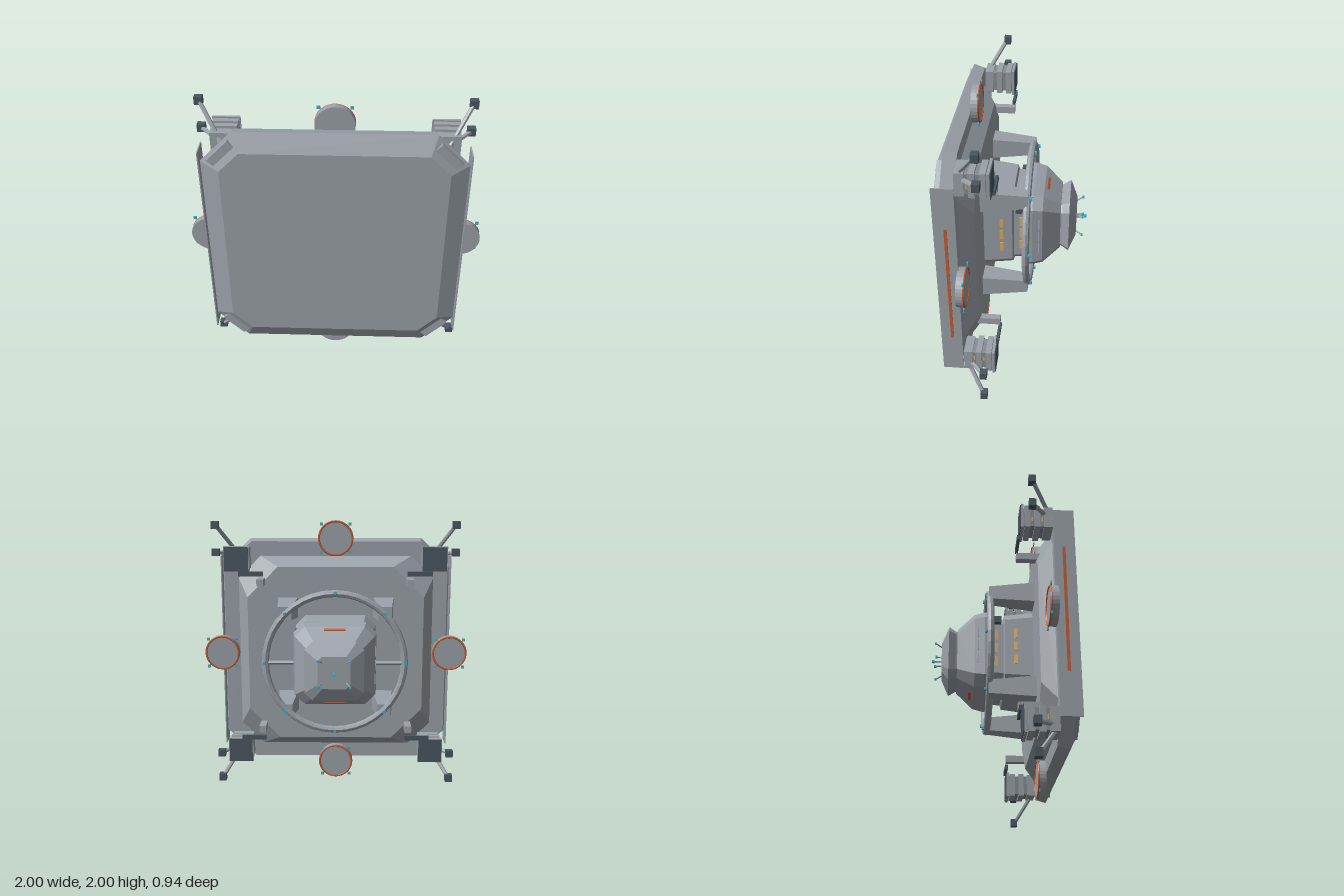
import * as THREE from 'three';

const mat = (name, color) => Object.assign(new THREE.MeshStandardMaterial({ color, flatShading: true }), { name });

export function createModel() {
  const hull = mat('hull grey', 0x9ba2a9);
  const panel = mat('panel grey', 0x868d93);
  const dark = mat('dark slate', 0x49575f);
  const orange = mat('orange', 0xc25c34);
  const cyan = mat('cyan light', 0x3fb4c8);
  const amber = mat('amber window', 0xe0b260);
  const pale = mat('pale window', 0xa6adc4);

  const root = new THREE.Group();
  root.name = 'spaceStation';
  const station = new THREE.Group();
  station.name = 'station';
  station.position.y = 1.005;
  root.add(station);

  const add = (name, geo, material, x = 0, y = 0, z = 0, parent = station) => {
    const m = new THREE.Mesh(geo, material);
    m.name = name;
    m.position.set(x, y, z);
    parent.add(m);
    return m;
  };
  const box = (name, w, h, d, material, x, y, z, parent) =>
    add(name, new THREE.BoxGeometry(w, h, d), material, x, y, z, parent);

  // Chamfered-square loft; each section is [z, half width, corner cut], front to back
  const loft = (sections) => {
    const rings = sections.map(([z, h, c]) => {
      const k = h - c;
      return [[h, -k], [h, k], [k, h], [-k, h], [-h, k], [-h, -k], [-k, -h], [k, -h]].map(([x, y]) => [x, y, z]);
    });
    const v = [];
    for (let s = 0; s < rings.length - 1; s++) {
      const a = rings[s], b = rings[s + 1];
      for (let i = 0; i < 8; i++) {
        const j = (i + 1) % 8;
        v.push(a[i], b[i], a[j], a[j], b[i], b[j]);
      }
    }
    const f = rings[0], l = rings[rings.length - 1];
    for (let i = 1; i < 7; i++) v.push(f[0], f[i], f[i + 1], l[0], l[i + 1], l[i]);
    const g = new THREE.BufferGeometry();
    g.setAttribute('position', new THREE.Float32BufferAttribute(v.flat(), 3));
    g.computeVertexNormals();
    return g;
  };

  // Square strut tapering from front half width and z to back half width and z
  const taperBlock = (frontHalf, frontZ, backHalf, backZ) => {
    const g = new THREE.BoxGeometry(1, 1, 1), p = g.attributes.position;
    for (let i = 0; i < p.count; i++) {
      const [h, z] = p.getZ(i) > 0 ? [frontHalf, frontZ] : [backHalf, backZ];
      p.setXYZ(i, Math.sign(p.getX(i)) * h, Math.sign(p.getY(i)) * h, z);
    }
    g.computeVertexNormals();
    return g;
  };

  // Straight rod between two points
  const rod = (name, from, to, r, material) => {
    const a = new THREE.Vector3(...from), b = new THREE.Vector3(...to);
    const m = add(name, new THREE.CylinderGeometry(r, r, a.distanceTo(b), 6), material);
    m.position.copy(a).add(b).multiplyScalar(0.5);
    m.quaternion.setFromUnitVectors(new THREE.Vector3(0, 1, 0), b.sub(a).normalize());
  };

  // Shield plate and the raised octagonal base behind it
  add('shieldPlate', loft([[0.47, 0.737, 0.135], [0.41, 0.862, 0.215], [0.33, 0.842, 0.21]]), hull);
  add('raisedBase', loft([[0.335, 0.738, 0.165], [0.237, 0.66, 0.23]]), hull);

  // Central tower, stepped and tapered toward the rear
  add('towerBody', loft([[0.24, 0.3, 0.075], [0.04, 0.28, 0.07], [0.03, 0.255, 0.064], [-0.06, 0.25, 0.062]]), hull);
  add('towerCollar', loft([[-0.05, 0.295, 0.074], [-0.1, 0.295, 0.074], [-0.17, 0.28, 0.07], [-0.29, 0.19, 0.05]]), hull);
  add('towerCap', loft([[-0.28, 0.175, 0.045], [-0.3, 0.18, 0.046], [-0.35, 0.205, 0.053], [-0.4, 0.112, 0.03]]), hull);

  // Docking ring with lights and spokes
  add('dockingRing', new THREE.TorusGeometry(0.5, 0.025, 8, 40), hull, 0, 0, -0.07);
  for (let i = 0; i < 8; i++) {
    const a = i * Math.PI / 4;
    box('ringLight', 0.02, 0.02, 0.02, cyan, 0.505 * Math.cos(a), 0.505 * Math.sin(a), -0.096);
  }

  // Antenna needles on the cap
  rod('needle', [0, 0, -0.39], [0, 0, -0.46], 0.005, hull);
  box('needleTip', 0.018, 0.018, 0.018, cyan, 0, 0, -0.463);
  for (const sx of [-1, 1]) for (const sy of [-1, 1]) {
    rod('needle', [sx * 0.075, sy * 0.065, -0.38], [sx * 0.11, sy * 0.09, -0.44], 0.005, hull);
    box('needleTip', 0.015, 0.015, 0.015, cyan, sx * 0.11, sy * 0.09, -0.443);
  }

  for (const s of [-1, 1]) {
    rod('ringSpoke', [s * 0.25, 0, -0.07], [s * 0.49, 0, -0.07], 0.015, hull);

    // Side fin with an orange stripe
    box('sideFin', 0.008, 1.47, 0.14, hull, s * 0.863, 0, 0.39);
    box('finStripe', 0.006, 0.89, 0.02, orange, s * 0.867, 0, 0.385);

    // Tower windows on each flank
    for (const y of [-0.1, 0, 0.1]) {
      const w = box('window', 0.008, 0.072, 0.025, amber, s * 0.287, y, 0.115);
      w.rotation.y = s * 0.1;
      box('window', 0.008, 0.072, 0.02, amber, s * 0.253, y, -0.018);
      box('upperWindow', 0.008, 0.072, 0.008, pale, s * 0.287, y, -0.145);
    }
    box('sensorBox', 0.05, 0.05, 0.05, dark, s * 0.262, 0.21, -0.01);

    // Orange markings above and below on the tapered collar
    const mark = box('collarMark', 0.15, 0.008, 0.02, orange, 0, s * 0.261, -0.195);
    mark.rotation.x = -s * 0.64;
  }

  // Round pads around the plate edge
  for (let i = 0; i < 4; i++) {
    const a = i * Math.PI / 2;
    const pad = new THREE.Group();
    pad.name = 'dockingPad';
    pad.position.set(0.867 * Math.cos(a), 0.867 * Math.sin(a), 0.3);
    station.add(pad);
    add('padDisc', new THREE.CylinderGeometry(0.13, 0.13, 0.05, 32).rotateX(Math.PI / 2), hull, 0, 0, 0, pad);
    add('padRim', new THREE.TorusGeometry(0.124, 0.008, 6, 32), orange, 0, 0, -0.024, pad);
    for (const u of [-1, 1]) for (const v of [-1, 1])
      box('padLight', 0.022, 0.022, 0.009, cyan, u * 0.105, v * 0.105, -0.022, pad);
  }

  // Everything repeated at the four corners
  for (const sx of [-1, 1]) for (const sy of [-1, 1]) {
    // Corner hatch on the front bevel
    const hatch = box('cornerHatch', 0.09, 0.2, 0.06, hull, sx * 0.71, sy * 0.71, 0.418);
    hatch.rotation.z = Math.atan2(sy, sx);

    // Layered thruster with a dark rear plate
    const t = new THREE.Group();
    t.name = 'thruster';
    t.position.set(sx * 0.72, sy * 0.725, 0);
    station.add(t);
    box('thrusterBase', 0.16, 0.16, 0.06, hull, 0, 0, 0.3, t);
    box('thrusterCore', 0.14, 0.14, 0.2, panel, 0, 0, 0.22, t);
    box('thrusterLayer', 0.17, 0.17, 0.04, hull, 0, 0, 0.225, t);
    box('thrusterLayer', 0.17, 0.17, 0.04, hull, 0, 0, 0.158, t);
    box('thrusterFlange', 0.185, 0.185, 0.018, hull, 0, 0, 0.123, t);
    box('thrusterPlate', 0.175, 0.175, 0.008, dark, 0, 0, 0.112, t);
    for (const z of [0.258, 0.192])
      box('thrusterLight', 0.006, 0.035, 0.01, amber, sx * 0.07, -sy * 0.015, z, t);

    // Bracket post and arm on the inner side
    box('bracketPost', 0.05, 0.05, 0.17, hull, sx * 0.55, sy * 0.555, 0.185);
    box('bracketArm', 0.18, 0.035, 0.02, dark, sx * 0.615, sy * 0.62, 0.105);

    // Twin booms with dark tips
    for (const y of [0.967, 0.77]) {
      rod('boom', [sx * 0.73, sy * 0.745, 0.335], [sx * 0.875, sy * y, 0.19], 0.015, hull);
      box('boomTip', 0.054, 0.054, 0.048, dark, sx * 0.877, sy * y, 0.185);
    }

    // Tapered strut from base to ring
    add('ringStrut', taperBlock(0.075, 0.24, 0.048, -0.078), hull, sx * 0.357, sy * 0.357);
  }
  return root;
}
